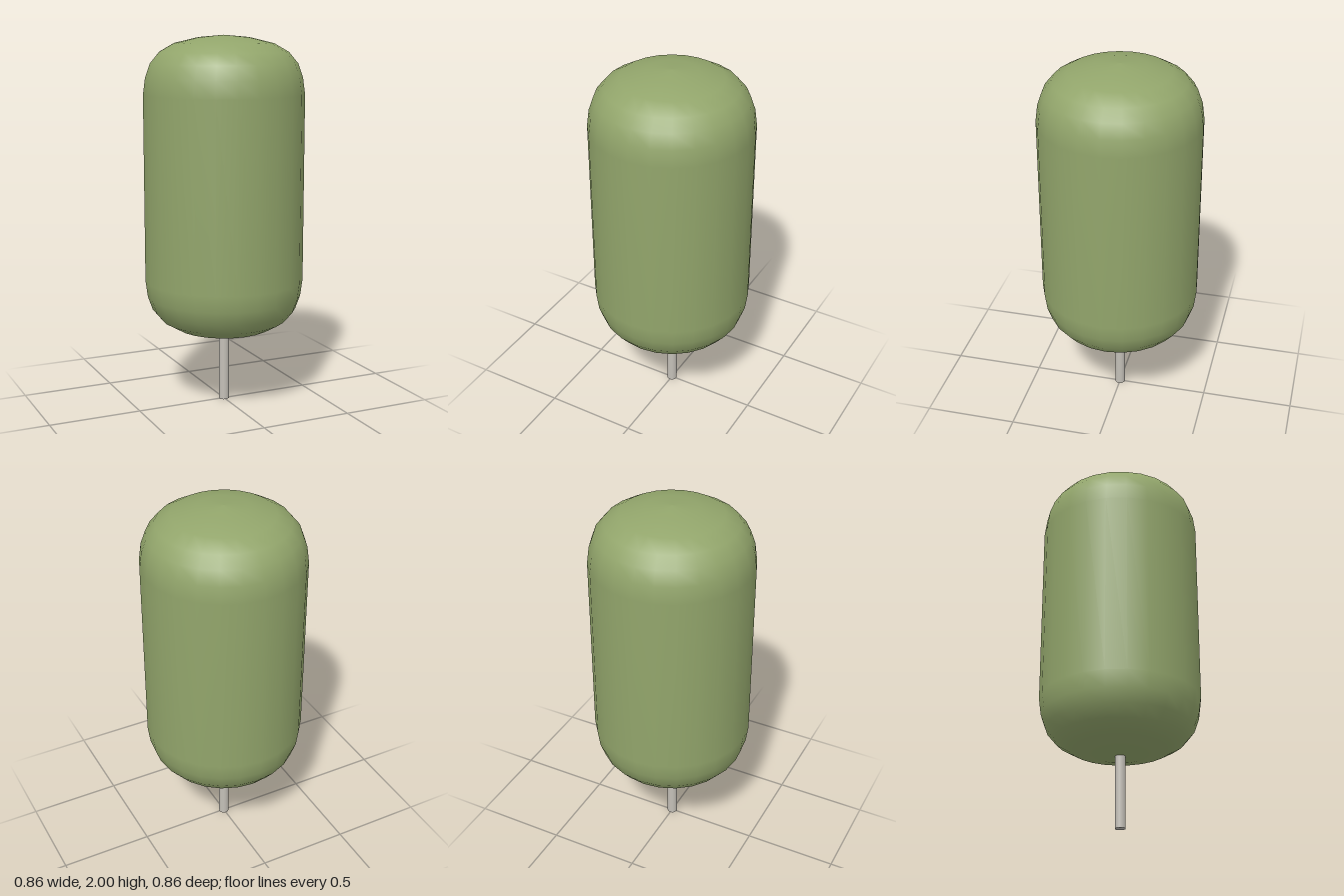
import * as THREE from 'three';

export function createModel() {
  const group = new THREE.Group();
  group.name = 'lollipopTree';

  // Rounded cap outline: radius and depth below the crown's end
  const cap = [
    [0, 0], [0.135, 0.012], [0.265, 0.043], [0.343, 0.088],
    [0.392, 0.147], [0.418, 0.22], [0.43, 0.31],
  ];
  const bottom = 0.38, top = 2;

  // Crown: the same cap at both ends of a straight body
  const profile = [
    ...cap.map(([r, d]) => new THREE.Vector2(r, bottom + d)),
    ...[...cap].reverse().map(([r, d]) => new THREE.Vector2(r, top - d)),
  ];
  const crown = new THREE.Mesh(
    new THREE.LatheGeometry(profile, 24),
    new THREE.MeshStandardMaterial({ color: 0x92a56b }),
  );
  crown.name = 'crown';
  group.add(crown);

  // Trunk: thin pole reaching just inside the crown
  const height = bottom + 0.01;
  const trunk = new THREE.Mesh(
    new THREE.CylinderGeometry(0.028, 0.028, height, 12),
    new THREE.MeshStandardMaterial({ color: 0xc4c0b8 }),
  );
  trunk.name = 'trunk';
  trunk.position.y = height / 2;
  group.add(trunk);

  return group;
}
